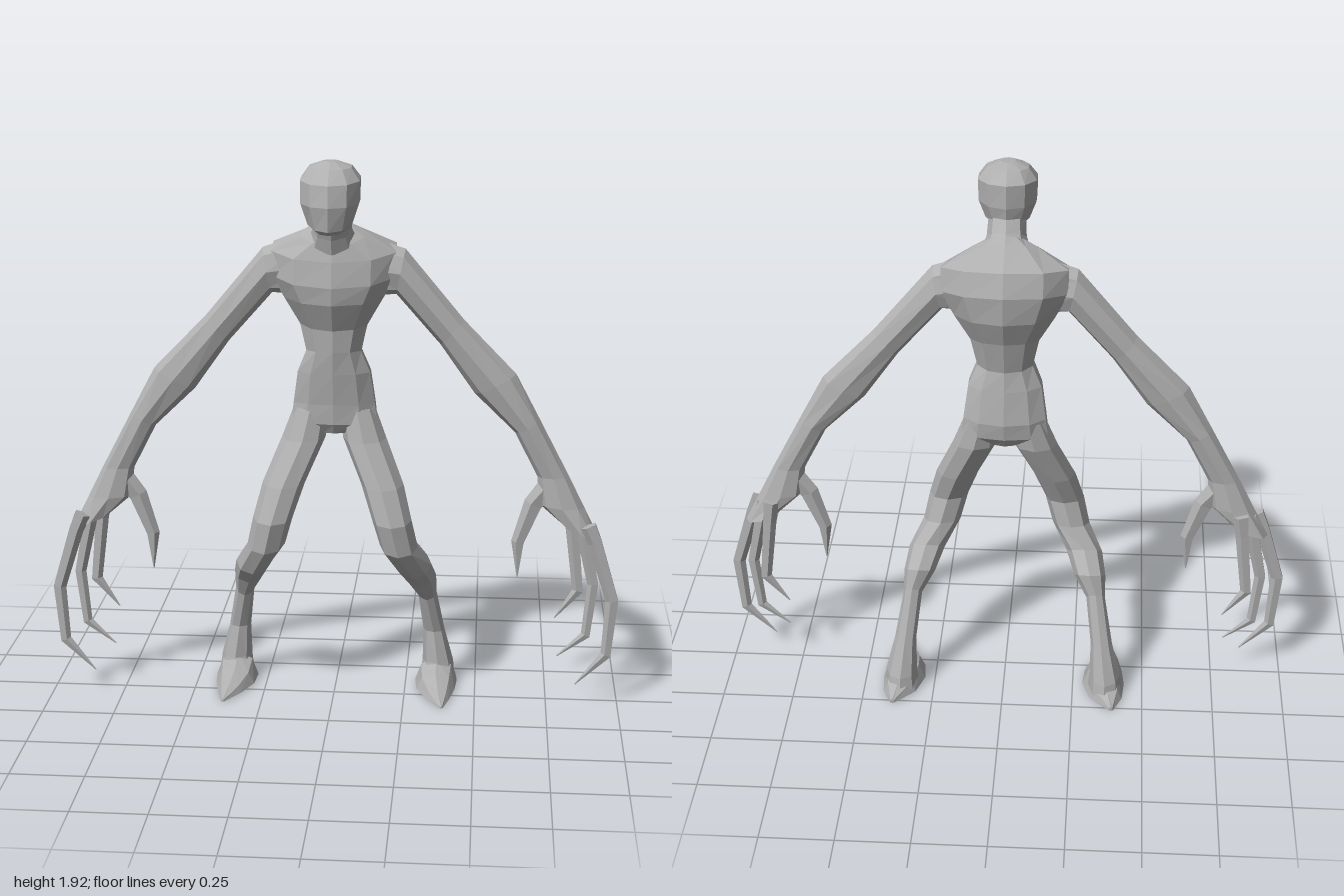
import * as THREE from 'three';

const skin = new THREE.MeshStandardMaterial({ color: 0xb0b0b0, flatShading: true });
skin.name = 'grey skin';

// Skin a row of elliptical sections. Each section is [a, b, w]: two opposite
// points of the ring, and its half width along the given axis.
function loft(name, sections, sides, axis) {
  const side = new THREE.Vector3(axis === 'x' ? 1 : 0, 0, axis === 'z' ? 1 : 0);
  const rings = sections.map(([a, b, w]) => {
    const p = new THREE.Vector3(...a), q = new THREE.Vector3(...b);
    const c = p.clone().add(q).multiplyScalar(0.5);
    const u = p.clone().sub(c);
    return Array.from({ length: sides }, (_, i) => {
      const t = (i / sides) * Math.PI * 2;
      const v = c.clone().addScaledVector(u, Math.cos(t)).addScaledVector(side, w * Math.sin(t));
      v.y = Math.max(0, v.y); // soles stay flat on the ground
      return v;
    });
  });
  const tris = [];
  for (let r = 0; r < rings.length - 1; r++) {
    for (let i = 0; i < sides; i++) {
      const j = (i + 1) % sides, A = rings[r], B = rings[r + 1];
      tris.push([A[i], A[j], B[j]], [A[i], B[j], B[i]]);
    }
  }
  const first = rings[0], last = rings[rings.length - 1];
  for (let i = 1; i < sides - 1; i++) {
    tris.push([first[0], first[i + 1], first[i]], [last[0], last[i], last[i + 1]]);
  }
  // Turn the faces outward when the enclosed volume is negative
  const cross = new THREE.Vector3();
  const volume = tris.reduce((s, [a, b, c]) => s + a.dot(cross.crossVectors(b, c)), 0);
  const points = tris.flatMap(([a, b, c]) => (volume < 0 ? [a, c, b] : [a, b, c]));
  const geometry = new THREE.BufferGeometry().setFromPoints(points);
  geometry.computeVertexNormals();
  const mesh = new THREE.Mesh(geometry, skin);
  mesh.name = name;
  return mesh;
}

// Sections [yFront, zFront, yBack, zBack, halfWidth, x]
const upright = (rows, s = 1) =>
  rows.map(([yf, zf, yb, zb, w, x = 0]) => [[s * x, yf, zf], [s * x, yb, zb], w]);

// A bony digit along x, y points [x, y, radius] at depth z
function digit(name, path, z, s) {
  const sections = path.map(([x, y, r], i) => {
    const p = path[Math.max(0, i - 1)], n = path[Math.min(path.length - 1, i + 1)];
    const d = new THREE.Vector2(n[0] - p[0], n[1] - p[1]).normalize();
    return [[s * (x + d.y * r), y - d.x * r, z], [s * (x - d.y * r), y + d.x * r, z], r * 0.7];
  });
  return loft(name, sections, 5, 'z');
}

function arm(s) {
  const g = new THREE.Group();
  g.name = s > 0 ? 'leftArm' : 'rightArm';
  // [outer x, outer y, inner x, inner y, half depth]
  const rows = [
    [0.1, 1.65, 0.1, 1.44, 0.055],
    [0.24, 1.605, 0.21, 1.45, 0.062],
    [0.44, 1.365, 0.36, 1.28, 0.05],
    [0.62, 1.18, 0.48, 1.11, 0.05],
    [0.705, 1.02, 0.62, 0.975, 0.045],
    [0.81, 0.82, 0.7, 0.82, 0.035],
    [0.865, 0.71, 0.71, 0.72, 0.048],
    [0.92, 0.6, 0.79, 0.65, 0.058],
  ];
  g.add(loft('armAndPalm', rows.map(([ox, oy, ix, iy, w]) =>
    [[s * ox, oy, -0.01], [s * ix, iy, -0.01], w]), 8, 'z'));
  // Three clawed fingers and a thumb
  g.add(
    digit('frontFinger', [[0.88, 0.66, 0.03], [0.905, 0.6, 0.027], [0.97, 0.39, 0.024], [0.955, 0.19, 0.02], [0.85, 0.075, 0.002]], 0.04, s),
    digit('middleFinger', [[0.85, 0.68, 0.03], [0.865, 0.62, 0.025], [0.905, 0.43, 0.021], [0.885, 0.24, 0.018], [0.785, 0.157, 0.002]], -0.015, s),
    digit('backFinger', [[0.82, 0.7, 0.03], [0.83, 0.62, 0.025], [0.855, 0.39, 0.021], [0.775, 0.285, 0.002]], -0.055, s),
    digit('thumb', [[0.74, 0.78, 0.04], [0.69, 0.72, 0.034], [0.64, 0.58, 0.024], [0.64, 0.45, 0.002]], -0.01, s),
  );
  return g;
}

function leg(s) {
  const g = new THREE.Group();
  g.name = s > 0 ? 'leftLeg' : 'rightLeg';
  // Thigh bowing forward, knee swept back, thin shin
  g.add(loft('legAndShin', upright([
    [1.05, 0.03, 1.05, -0.09, 0.06, 0.08],
    [0.94, 0.06, 0.95, -0.085, 0.075, 0.105],
    [0.79, 0.12, 0.8, -0.035, 0.073, 0.17],
    [0.67, 0.155, 0.69, 0.01, 0.068, 0.205],
    [0.56, 0.14, 0.6, -0.005, 0.065, 0.23],
    [0.46, 0.065, 0.53, -0.04, 0.063, 0.28],
    [0.405, 0, 0.465, -0.105, 0.055, 0.302],
    [0.335, -0.06, 0.39, -0.115, 0.033, 0.325],
    [0.2, -0.1, 0.2, -0.175, 0.038, 0.35],
    [0.085, -0.085, 0.07, -0.22, 0.055, 0.365],
    [0.03, -0.07, 0.02, -0.23, 0.06, 0.365],
  ], s), 8, 'x'));
  // Pointed foot, [z, top, half width, x]
  const foot = [
    [-0.265, 0.015, 0.008, 0.39],
    [-0.2, 0.06, 0.058, 0.37],
    [-0.12, 0.095, 0.075, 0.36],
    [-0.04, 0.065, 0.068, 0.36],
    [0.04, 0.035, 0.042, 0.37],
    [0.118, 0.008, 0.005, 0.385],
  ];
  g.add(loft('foot', foot.map(([z, top, w, x]) =>
    [[s * x, top, z], [s * x, -top * 0.8, z], w]), 8, 'x'));
  return g;
}

export function createModel() {
  const model = new THREE.Group();
  model.name = 'longArmedCreature';

  // Torso with a narrow waist, V-shaped chest and hunched back
  model.add(loft('torso', upright([
    [0.965, 0.02, 0.96, -0.07, 0.06],
    [1.0, 0.04, 1.0, -0.1, 0.155],
    [1.07, 0.045, 1.06, -0.11, 0.147],
    [1.18, 0.06, 1.18, -0.095, 0.13],
    [1.26, 0.07, 1.25, -0.085, 0.098],
    [1.335, 0.075, 1.37, -0.115, 0.12],
    [1.43, 0.12, 1.46, -0.155, 0.175],
    [1.49, 0.128, 1.56, -0.165, 0.22],
    [1.575, 0.115, 1.64, -0.14, 0.22],
    [1.63, 0.1, 1.69, -0.03, 0.11],
    [1.65, 0.09, 1.71, 0, 0.06],
  ]), 10, 'x'));

  // Neck leaning forward
  model.add(loft('neck', upright([
    [1.6, 0.11, 1.67, -0.04, 0.085],
    [1.65, 0.125, 1.715, 0.01, 0.066],
    [1.71, 0.15, 1.76, 0.045, 0.062],
  ]), 8, 'x'));

  // Faceless head
  model.add(loft('head', upright([
    [1.685, 0.225, 1.705, 0.09, 0.05],
    [1.7, 0.255, 1.74, 0.04, 0.076],
    [1.78, 0.268, 1.79, 0.03, 0.1],
    [1.85, 0.255, 1.87, 0.03, 0.102],
    [1.895, 0.21, 1.905, 0.07, 0.073],
    [1.918, 0.165, 1.918, 0.115, 0.025],
  ]), 10, 'x'));

  for (const s of [1, -1]) model.add(arm(s), leg(s));
  return model;
}
